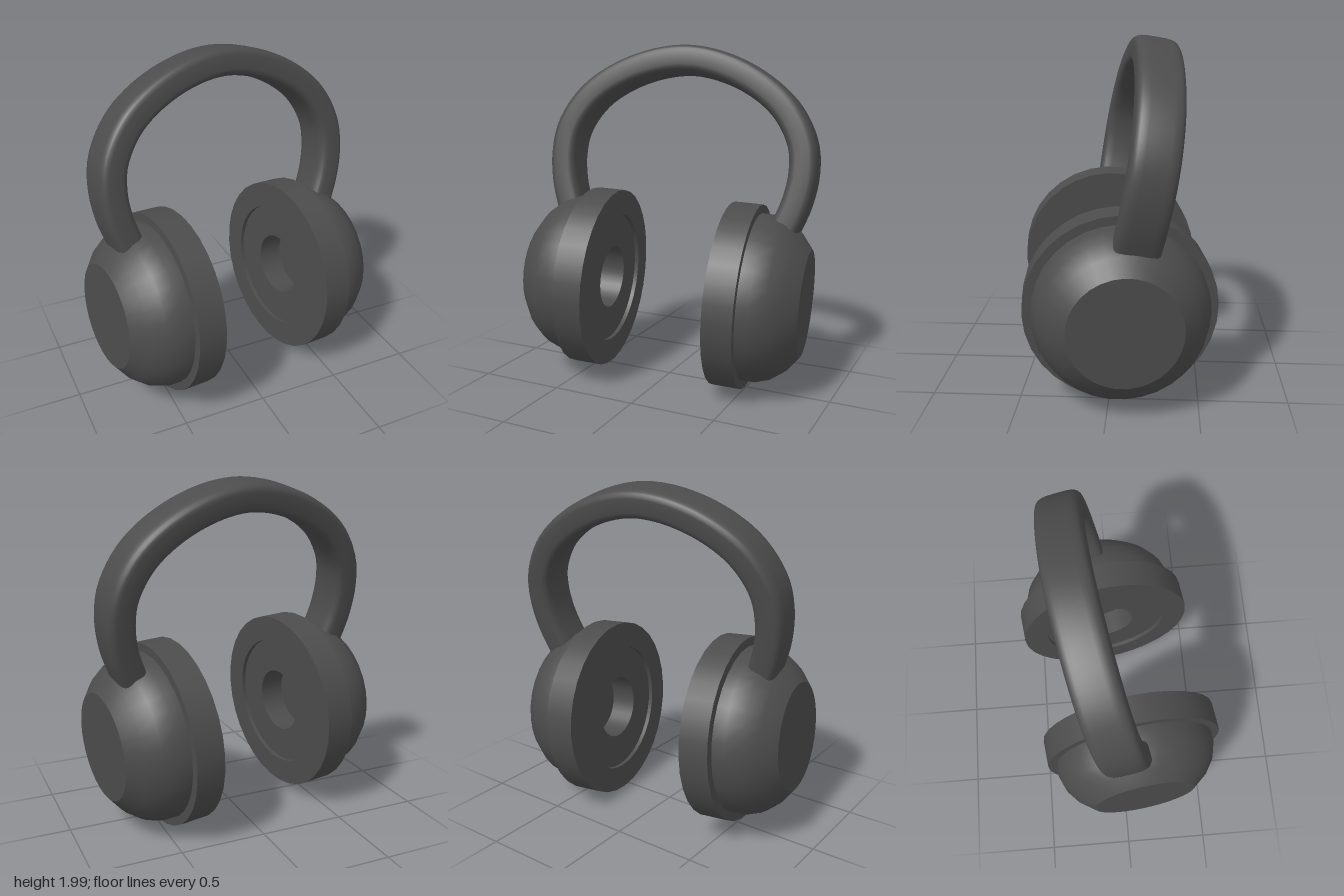
import * as THREE from 'three';

const charcoal = new THREE.MeshStandardMaterial({ color: 0x4c4c4c });
charcoal.name = 'charcoal';

// Profiles as [radius, distance outward from the cushion face]; each is smooth, edges between them are sharp
const CUP = {
  speakerRecess: [[[0, 0.18], [0.19, 0.18]], [[0.19, 0.18], [0.19, 0.025]]],
  speakerPlate: [[[0.19, 0.025], [0.39, 0.025]]],
  earCushion: [
    [[0.39, 0.025], [0.39, 0]], [[0.39, 0], [0.54, 0]],
    [[0.54, 0], [0.54, 0.17]], [[0.54, 0.17], [0.48, 0.17]],
  ],
  shell: [[[0.49, 0.165], [0.488, 0.24], [0.46, 0.325], [0.4, 0.405], [0.31, 0.475]]],
  shellCap: [[[0.31, 0.475], [0, 0.475]]],
};

function makeCup(name, side) {
  const cup = new THREE.Group();
  cup.name = name;
  for (const [part, profiles] of Object.entries(CUP)) {
    const group = new THREE.Group();
    group.name = part;
    for (const profile of profiles) {
      const points = profile.map(([r, a]) => new THREE.Vector2(r, a));
      const mesh = new THREE.Mesh(new THREE.LatheGeometry(points, 32), charcoal);
      mesh.name = part;
      group.add(mesh);
    }
    cup.add(group);
  }
  cup.rotation.z = -side * Math.PI / 2;
  cup.position.x = side * 0.35;
  return cup;
}

// Band: a soft rectangle swept along a symmetric arch
function makeBand() {
  const half = [[0.662, 0.41], [0.715, 0.57], [0.737, 0.74], [0.712, 0.91], [0.585, 1.11], [0.32, 1.28]];
  const path = [
    ...half.map(([x, y]) => new THREE.Vector3(-x, y, 0)),
    new THREE.Vector3(0, 1.35, 0),
    ...half.slice().reverse().map(([x, y]) => new THREE.Vector3(x, y, 0)),
  ];
  const curve = new THREE.CatmullRomCurve3(path, false, 'centripetal');
  const steps = 64, sides = 28;
  const soft = (v) => Math.sign(v) * Math.pow(Math.abs(v), 0.5);
  const positions = [], index = [];
  const addRing = (t) => {
    const p = curve.getPointAt(t), d = curve.getTangentAt(t);
    for (let j = 0; j < sides; j++) {
      const a = (j / sides) * Math.PI * 2;
      const out = 0.083 * soft(Math.cos(a)), across = 0.128 * soft(Math.sin(a));
      positions.push(p.x - d.y * out, p.y + d.x * out, across);
    }
  };
  for (let i = 0; i <= steps; i++) addRing(i / steps);
  for (let i = 0; i < steps; i++) {
    for (let j = 0; j < sides; j++) {
      const a = i * sides + j, b = i * sides + (j + 1) % sides;
      index.push(a, a + sides, b, b, a + sides, b + sides);
    }
  }
  // Flat ends
  for (const t of [0, 1]) {
    const start = positions.length / 3;
    addRing(t);
    for (let j = 1; j < sides - 1; j++) {
      if (t === 0) index.push(start, start + j, start + j + 1);
      else index.push(start, start + j + 1, start + j);
    }
  }
  // Make the winding face outward whichever way the section runs
  const at = (k) => new THREE.Vector3().fromArray(positions, k * 3);
  const mid = Math.floor(steps / 2) * sides;
  const normal = at(mid + sides).sub(at(mid)).cross(at(mid + 1).sub(at(mid)));
  if (normal.y < 0) index.reverse();

  const geometry = new THREE.BufferGeometry();
  geometry.setAttribute('position', new THREE.Float32BufferAttribute(positions, 3));
  geometry.setIndex(index);
  geometry.computeVertexNormals();
  const mesh = new THREE.Mesh(geometry, charcoal);
  mesh.name = 'headband';
  return mesh;
}

export function createModel() {
  const model = new THREE.Group();
  model.name = 'headphones';

  // The whole headset leans back, turned and tilted slightly
  const headset = new THREE.Group();
  headset.name = 'headset';
  const x = new THREE.Vector3(1, -0.05, -0.13).normalize();
  const z = x.clone().cross(new THREE.Vector3(0.028, 0.985, -0.17)).normalize();
  const y = z.clone().cross(x);
  headset.quaternion.setFromRotationMatrix(new THREE.Matrix4().makeBasis(x, y, z));
  headset.position.y = 0.57;

  headset.add(makeCup('leftEarCup', 1), makeCup('rightEarCup', -1), makeBand());
  model.add(headset);
  return model;
}
